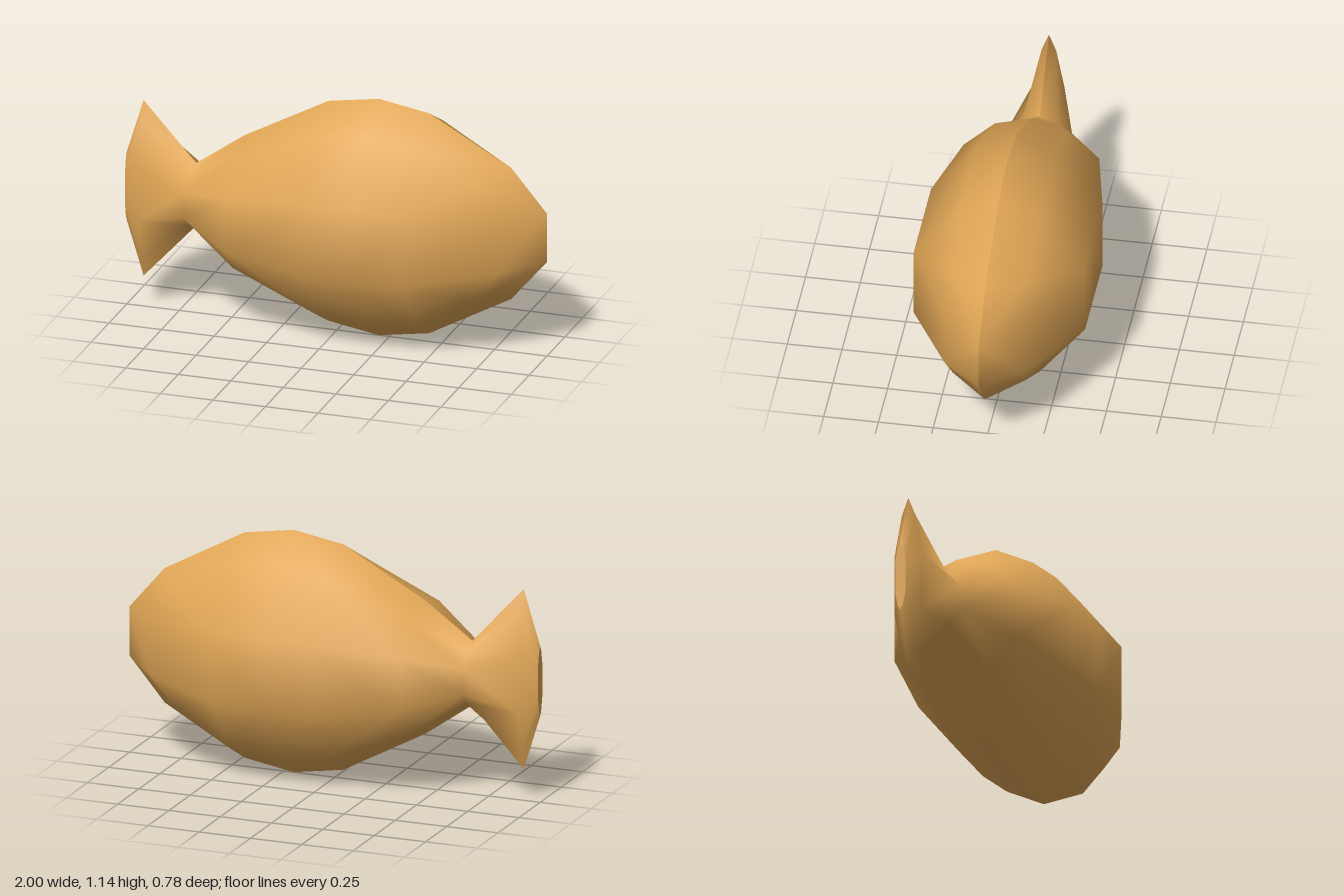
import * as THREE from 'three';

const MID = 0.572; // height of the horizontal symmetry line

// Cross-sections from nose to tail. Each holds rim, shoulder and cheek points
// as [x, height from the middle, depth]; the lower half mirrors the upper.
const sections = [
  [[1, 0.117, 0], [1, 0.117, 0], [1, 0.117, 0]],
  [[0.83, 0.317, 0], [0.71, 0.277, 0.167], [0.83, 0.127, 0.187]],
  [[0.44, 0.532, 0], [0.44, 0.43, 0.187], [0.44, 0.167, 0.392]],
  [[0.2, 0.572, 0], [0.2, 0.453, 0.187], [0.2, 0.167, 0.392]],
  [[-0.04, 0.532, 0], [-0.04, 0.43, 0.187], [-0.04, 0.167, 0.392]],
  [[-0.44, 0.315, 0], [-0.44, 0.265, 0.167], [-0.44, 0.125, 0.31]],
  [[-0.67, 0.152, 0], [-0.67, 0.12, 0.08], [-0.685, 0.06, 0.145]],
  [[-0.92, 0.425, 0], [-0.92, 0.34, 0.033], [-0.92, 0.14, 0.07]],
  [[-1, 0.165, 0], [-1, 0.14, 0.013], [-1, 0.08, 0.025]],
];
// Flat end of the tail
const tailEnd = sections[sections.length - 1];
const endSections = [tailEnd, tailEnd.map(([x, y]) => [x, y, 0])];

// Skins the sections into one smooth half; side is 1 (front) or -1 (back)
function skin(cols, side) {
  const pos = [], index = [], rows = 6;
  for (const col of cols) {
    for (const [x, y, z] of col) pos.push(x, MID + y, z * side);
    for (const [x, y, z] of [...col].reverse()) pos.push(x, MID - y, z * side);
  }
  const key = (i) => pos.slice(i * 3, i * 3 + 3).join();
  const tri = (a, b, c) => {
    if (key(a) === key(b) || key(b) === key(c) || key(a) === key(c)) return;
    index.push(...(side > 0 ? [a, b, c] : [a, c, b]));
  };
  for (let i = 0; i < cols.length - 1; i++) {
    for (let j = 0; j < rows - 1; j++) {
      const a = i * rows + j, d = a + rows;
      // Mirror the diagonals about the middle line
      if (j < 3) { tri(a, d, d + 1); tri(a, d + 1, a + 1); }
      else { tri(a, d, a + 1); tri(d, d + 1, a + 1); }
    }
  }
  // Share the nose points so the shading stays smooth there
  const first = new Map();
  const welded = index.map((i) => {
    if (!first.has(key(i))) first.set(key(i), i);
    return first.get(key(i));
  });
  const g = new THREE.BufferGeometry();
  g.setAttribute('position', new THREE.Float32BufferAttribute(pos, 3));
  g.setIndex(welded);
  g.computeVertexNormals();
  return g;
}

export function createModel() {
  const model = new THREE.Group();
  model.name = 'fishCracker';
  const baked = new THREE.MeshStandardMaterial({ color: 0xe0a656 });
  baked.name = 'bakedGold';

  // Two domed halves meet in a sharp seam
  for (const side of [1, -1]) {
    const label = side > 0 ? 'front' : 'back';
    const half = new THREE.Mesh(skin(sections, side), baked);
    half.name = label + 'Half';
    const end = new THREE.Mesh(skin(endSections, side), baked);
    end.name = label + 'TailEnd';
    model.add(half, end);
  }
  return model;
}
